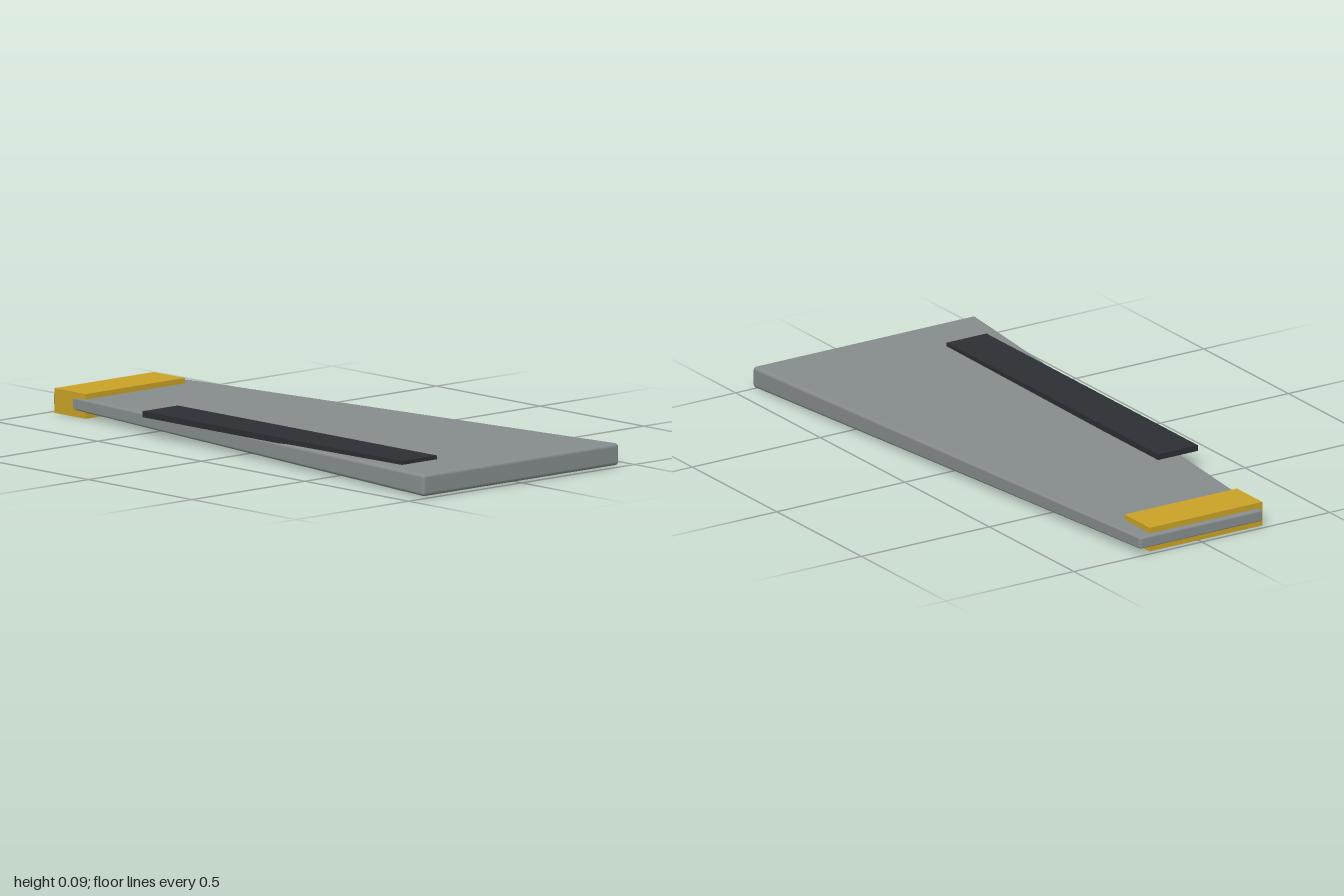
import * as THREE from 'three';
import { RoundedBoxGeometry } from 'three/addons/geometries/RoundedBoxGeometry.js';

const TIP_SCALE = 0.55;

function block(name, color, x0, x1, y0, y1, z0, z1) {
  const mesh = new THREE.Mesh(
    new THREE.BoxGeometry(x1 - x0, y1 - y0, z1 - z0),
    new THREE.MeshStandardMaterial({ color })
  );
  mesh.position.set((x0 + x1) / 2, (y0 + y1) / 2, (z0 + z1) / 2);
  mesh.name = name;
  return mesh;
}

export function createModel() {
  const model = new THREE.Group();
  model.name = 'wing';

  // Wing panel: a softly edged slab, narrowed and thinned towards the tip at -x
  const geometry = new RoundedBoxGeometry(2, 0.073, 0.87, 3, 0.012);
  const p = geometry.attributes.position;
  for (let i = 0; i < p.count; i++) {
    const s = THREE.MathUtils.lerp(TIP_SCALE, 1, (p.getX(i) + 1) / 2);
    p.setY(i, p.getY(i) * s);
    p.setZ(i, p.getZ(i) * s);
  }
  const panel = new THREE.Mesh(geometry, new THREE.MeshStandardMaterial({ color: 0x868c8d }));
  panel.position.y = 0.0425;
  panel.name = 'wingPanel';

  // Flap strip on the upper surface, overhanging the front edge
  const flap = block('flap', 0x2b2f33, -0.44, 0.81, 0.07, 0.09, 0.2, 0.355);

  // Coloured band wrapped around the tip
  const band = block('tipBand', 0xc9a227, -0.98, -0.83, 0, 0.082, -0.19, 0.25);

  model.add(panel, flap, band);
  return model;
}
